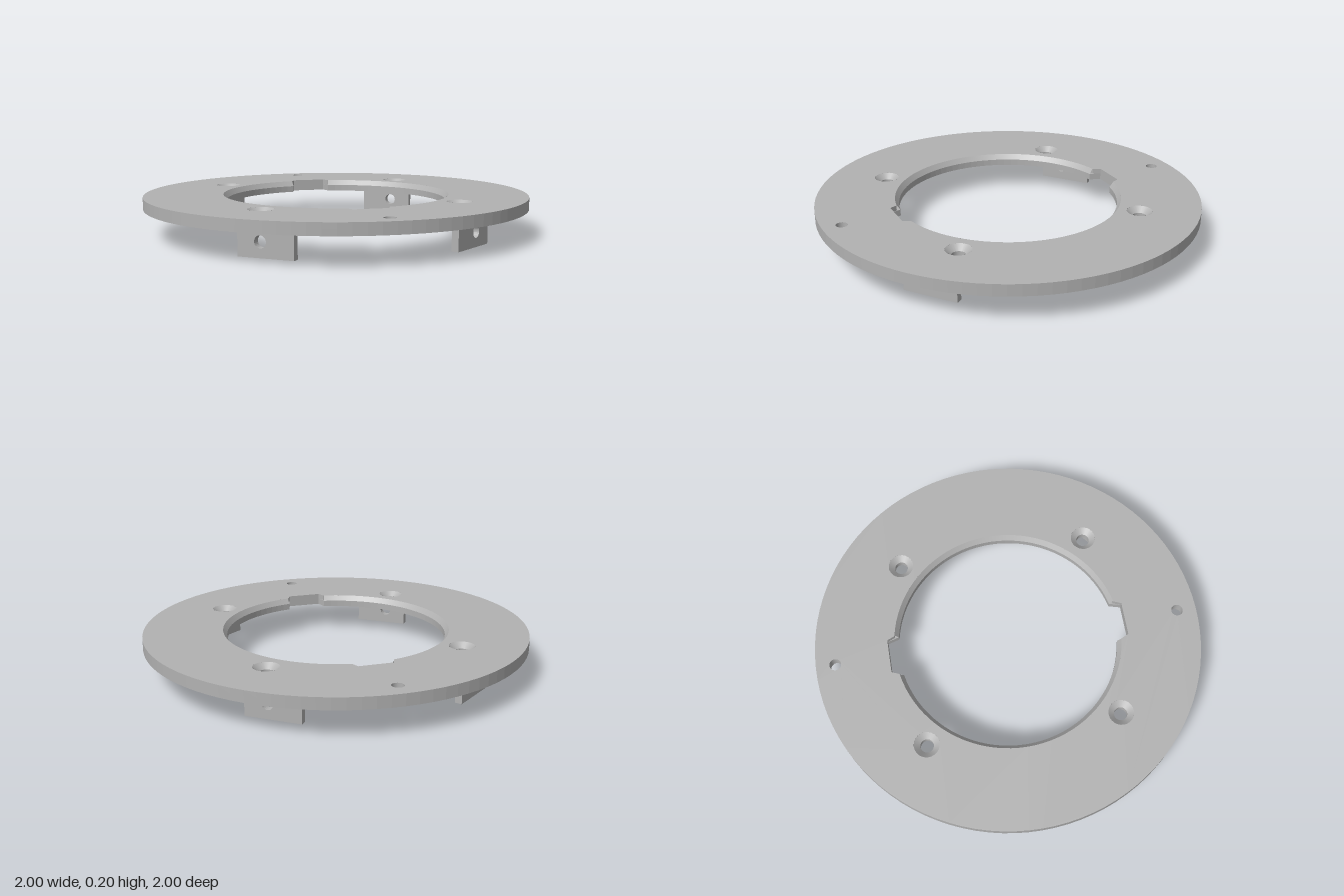
import * as THREE from 'three';

const grey = new THREE.MeshStandardMaterial({ color: 0xb2b2b2, side: THREE.DoubleSide });
grey.name = 'grey';

const BOTTOM = 0.145, FLOOR = 0.178, TOP = 0.205;
const BORE = 0.57, BORE_TOP = 0.59, NOTCH = 0.105;
const BLOCK_ANGLE = THREE.MathUtils.degToRad(38);
const corners = [[1, 1], [1, -1], [-1, 1], [-1, -1]];

const add = (parent, name, geometry) => {
  const mesh = new THREE.Mesh(geometry, grey);
  mesh.name = name;
  parent.add(mesh);
  return mesh;
};

const circle = (x, y, r) => new THREE.Path().absarc(x, y, r, 0, Math.PI * 2);

// Points along an arc, angles in degrees
const arc = (r, from, to, n = 16) => Array.from({ length: n + 1 }, (_, i) => {
  const a = THREE.MathUtils.degToRad(from + (to - from) * i / n);
  return new THREE.Vector2(r * Math.cos(a), r * Math.sin(a));
});

// Central opening with a flared notch at front and back
function opening(r) {
  const d = THREE.MathUtils.radToDeg(Math.asin(NOTCH / r));
  const v = (x, y) => new THREE.Vector2(x, y);
  return new THREE.Path([
    ...arc(r, -90 + d, 90 - d, 40), v(0.088, 0.62), v(-0.088, 0.62),
    ...arc(r, 90 + d, 270 - d, 40), v(-0.088, -0.62), v(0.088, -0.62)
  ]);
}

// Two recesses of one quarter: spoke to block, and block to screw pad
const recesses = [
  [...arc(0.95, 4.5, 58), ...arc(0.83, 58, 39, 8), ...arc(0.74, 39, 8), ...arc(0.765, 5.5, 5.5, 1)],
  [...arc(0.95, 64.5, 81, 8), new THREE.Vector2(0.1, 0.91), new THREE.Vector2(0.09, 0.85),
    new THREE.Vector2(0.115, 0.81), ...arc(0.74, 78, 66.5, 6)]
];

// Flat layer of the ring lying between two heights
function layer(parent, name, y0, y1, boreRadius, screwRadius, withRecesses) {
  const shape = new THREE.Shape().absarc(0, 0, 1, 0, Math.PI * 2);
  shape.holes.push(opening(boreRadius), circle(0, 0.9, 0.03), circle(0, -0.9, 0.03));
  for (const [sx, sz] of corners) {
    shape.holes.push(circle(sx * 0.495, sz * 0.495, screwRadius));
    if (withRecesses) for (const pts of recesses)
      shape.holes.push(new THREE.Path(pts.map(p => new THREE.Vector2(p.x * sx, p.y * sz))));
  }
  const g = new THREE.ExtrudeGeometry(shape, { depth: y1 - y0, bevelEnabled: false, curveSegments: 48 });
  add(parent, name, g.rotateX(-Math.PI / 2).translate(0, y0, 0));
}

export function createModel() {
  const model = new THREE.Group();
  model.name = 'mountingRing';

  layer(model, 'recessedUnderside', BOTTOM, FLOOR, BORE, 0.034, true);
  layer(model, 'topPlate', FLOOR, TOP, BORE_TOP, 0.065, false);

  // Sloped lip round the opening, interrupted by the notches
  const d = Math.asin(NOTCH / BORE);
  const lip = [[BORE_TOP, FLOOR], [BORE, FLOOR], [BORE_TOP, TOP]].map(p => new THREE.Vector2(...p));
  for (const start of [d, Math.PI + d])
    add(model, 'openingLip', new THREE.LatheGeometry(lip.slice(1), 40, start, Math.PI - 2 * d));

  // Countersunk seats of the four screw holes
  for (const [sx, sz] of corners)
    add(model, 'countersink', new THREE.CylinderGeometry(0.065, 0.034, TOP - FLOOR, 24, 1, true)
      .translate(sx * 0.495, (TOP + FLOOR) / 2, sz * 0.495));

  // Drilled blocks hanging below the ring
  for (const [sx, sz] of corners) {
    const shape = new THREE.Shape();
    shape.moveTo(-0.143, 0).lineTo(0.143, 0).lineTo(0.143, 0.16).lineTo(-0.143, 0.16).closePath();
    shape.holes.push(circle(0.027 * sx * sz, 0.075, 0.03));
    const g = new THREE.ExtrudeGeometry(shape, { depth: 0.037, bevelEnabled: false, curveSegments: 12 });
    const block = add(model, 'mountingBlock', g.translate(0, 0, 0.783));
    block.rotation.y = Math.atan2(sx * Math.sin(BLOCK_ANGLE), sz * Math.cos(BLOCK_ANGLE));
  }
  return model;
}
